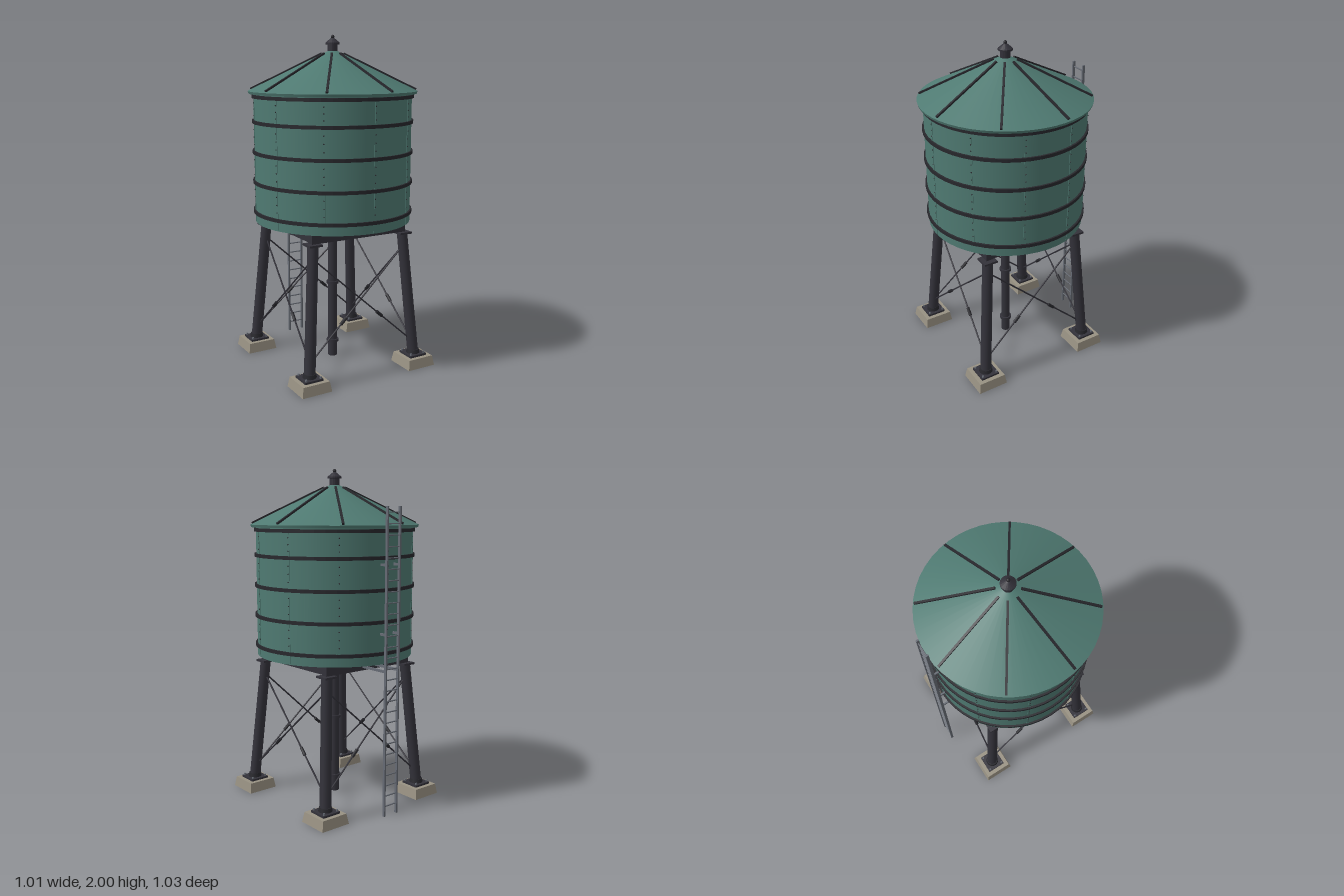
import * as THREE from 'three';

const mat = (name, color, extra = {}) => {
  const m = new THREE.MeshStandardMaterial({ color, ...extra });
  m.name = name;
  return m;
};

export function createModel() {
  const root = new THREE.Group();
  root.name = 'waterTower';
  const tower = new THREE.Group();
  tower.name = 'tower';
  tower.position.z = 0.005;
  root.add(tower);

  const teal = mat('tealPaint', 0x4f7a72);
  const steel = mat('darkSteel', 0x33323a);
  const iron = mat('blackIron', 0x28282d);
  const concrete = mat('concrete', 0x989182);
  const metal = mat('greyMetal', 0x666b74);

  const V = (x, y, z) => new THREE.Vector3(x, y, z);
  const add = (name, geo, material, x = 0, y = 0, z = 0, parent = tower) => {
    const m = new THREE.Mesh(geo, material);
    m.name = name;
    m.position.set(x, y, z);
    parent.add(m);
    return m;
  };
  const box = (name, w, h, d, material, x, y, z, parent) =>
    add(name, new THREE.BoxGeometry(w, h, d), material, x, y, z, parent);
  const cyl = (name, rt, rb, h, n, material, x, y, z, parent) =>
    add(name, new THREE.CylinderGeometry(rt, rb, h, n), material, x, y, z, parent);
  // Round bar between two points
  const bar = (name, a, b, r, material, n = 8, r2 = r) => {
    const d = b.clone().sub(a), mid = a.clone().lerp(b, 0.5);
    const m = cyl(name, r2, r, d.length(), n, material, mid.x, mid.y, mid.z);
    m.quaternion.setFromUnitVectors(V(0, 1, 0), d.normalize());
    return m;
  };
  // Group turned about the tower axis
  const turned = (name, angle) => {
    const g = new THREE.Group();
    g.name = name;
    g.rotation.y = angle;
    tower.add(g);
    return g;
  };

  // Tank
  cyl('tank', 0.472, 0.472, 0.765, 48, teal, 0, 1.2775, 0);
  const hoopYs = [0.958, 1.138, 1.317, 1.497, 1.645];
  const band = [[0.468, -0.01], [0.483, -0.01], [0.483, 0.01], [0.468, 0.01]];
  const hoopGeo = new THREE.LatheGeometry(band.map(p => new THREE.Vector2(...p)), 48).toNonIndexed();
  hoopGeo.computeVertexNormals();
  hoopYs.forEach(y => add('hoop', hoopGeo, iron, 0, y, 0));

  // Panel seams with rivets
  const rivetGeo = new THREE.SphereGeometry(0.004, 6, 4);
  for (let i = 0; i < 10; i++) {
    const g = turned('seam', i * Math.PI / 5);
    box('seamStrip', 0.014, 0.75, 0.006, teal, 0, 1.275, 0.471, g);
    for (let k = 0; k < 4; k++)
      for (const t of [0.25, 0.5, 0.75])
        add('rivet', rivetGeo, iron, 0, THREE.MathUtils.lerp(hoopYs[k], hoopYs[k + 1], t), 0.474, g);
  }

  // Conical roof with a thin eave
  const slope = Math.atan2(0.23, 0.475);
  cyl('roof', 0.03, 0.505, 0.23, 48, teal, 0, 1.79, 0);
  cyl('eave', 0.505, 0.5, 0.015, 48, teal, 0, 1.6675, 0);
  for (let i = 0; i < 8; i++) {
    const g = turned('roofRib', Math.PI / 16 + i * Math.PI / 4);
    const rib = box('rib', 0.43 / Math.cos(slope), 0.014, 0.013, iron, 0.28, 1.787, 0, g);
    rib.rotation.z = -slope;
  }

  // Vent cap on the peak
  const cap = [[0, 1.89], [0.03, 1.89], [0.03, 1.945], [0.042, 1.945], [0.042, 1.955], [0.014, 1.978], [0.008, 1.982]];
  const capGeo = new THREE.LatheGeometry(cap.map(p => new THREE.Vector2(...p)), 20).toNonIndexed();
  capGeo.computeVertexNormals();
  add('ventCap', capGeo, steel);
  add('ventKnob', new THREE.SphereGeometry(0.011, 12, 8), iron, 0, 1.989, 0);

  // Beam frame under the tank
  for (const s of [-1, 1]) {
    box('mainBeam', 0.64, 0.057, 0.042, steel, 0, 0.866, s * 0.3);
    box('sideBeam', 0.042, 0.05, 0.56, steel, s * 0.3, 0.868, 0);
    box('joist', 0.56, 0.042, 0.035, steel, 0, 0.872, s * 0.1);
  }

  // Legs on concrete footings
  const footGeo = new THREE.CylinderGeometry(0.085 * Math.SQRT2, 0.095 * Math.SQRT2, 0.06, 4);
  footGeo.rotateY(Math.PI / 4);
  const footFlat = footGeo.toNonIndexed();
  footFlat.computeVertexNormals();
  for (const sx of [-1, 1]) for (const sz of [-1, 1]) {
    const fx = sx * 0.365, fz = sz * 0.365;
    add('footing', footFlat, concrete, fx, 0.03, fz);
    box('basePlate', 0.118, 0.012, 0.118, steel, fx, 0.066, fz);
    for (const bx of [-1, 1]) for (const bz of [-1, 1])
      cyl('anchorBolt', 0.006, 0.006, 0.014, 6, metal, fx + bx * 0.047, 0.077, fz + bz * 0.047);
    cyl('legCollar', 0.037, 0.042, 0.025, 16, iron, fx, 0.083, fz);
    bar('leg', V(fx, 0.07, fz), V(sx * 0.307, 0.83, sz * 0.307), 0.034, steel, 16, 0.032);
    box('legCap', 0.085, 0.012, 0.085, steel, sx * 0.307, 0.832, sz * 0.307);
  }

  // Crossed tie rods with turnbuckles on the four sides
  const up = new THREE.Vector3(0, 1, 0);
  for (let i = 0; i < 4; i++) for (const s of [-1, 1]) {
    const a = V(s * 0.3, 0.74, 0.313).applyAxisAngle(up, i * Math.PI / 2);
    const b = V(-s * 0.345, 0.16, 0.357).applyAxisAngle(up, i * Math.PI / 2);
    bar('tieRod', a, b, 0.005, steel, 6);
    bar('turnbuckle', a.clone().lerp(b, 0.63), a.clone().lerp(b, 0.69), 0.01, iron, 8);
  }

  // Central riser pipe
  cyl('riserPipe', 0.028, 0.028, 0.89, 16, steel, 0, 0.445, 0);
  for (const y of [0.1, 0.485]) cyl('pipeCollar', 0.038, 0.038, 0.016, 16, steel, 0, y, 0);
  cyl('pipeFlange', 0.045, 0.045, 0.02, 16, steel, 0, 0.88, 0);

  // Ladder at the back with stand-off brackets
  const lz = -0.513;
  for (const s of [-1, 1]) {
    box('ladderRail', 0.01, 1.78, 0.016, metal, s * 0.048, 0.89, lz);
    for (const [y, z] of [[0.86, -0.3], [1.07, -0.465], [1.46, -0.465]])
      box('ladderBracket', 0.01, 0.014, z - lz, metal, s * 0.048, y, (z + lz) / 2);
  }
  for (let i = 0; i < 28; i++)
    bar('rung', V(-0.048, 0.06 + i * 0.0625, lz), V(0.048, 0.06 + i * 0.0625, lz), 0.004, metal, 6);

  return root;
}
